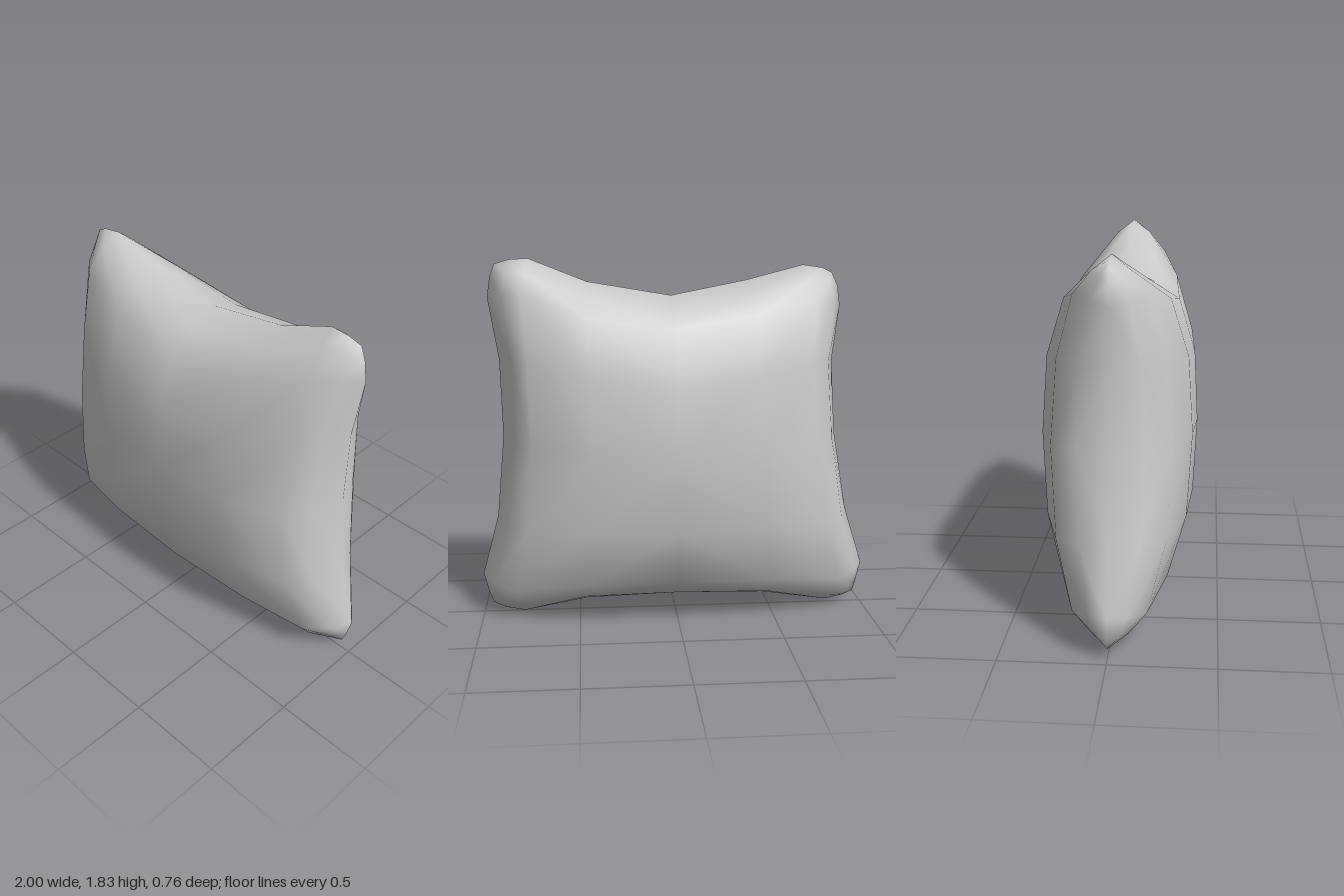
import * as THREE from 'three';
import { mergeVertices } from 'three/addons/utils/BufferGeometryUtils.js';

// Seam outline: nine points per edge, at these stations from -1 to 1
const STATIONS = [-1, -0.94, -0.77, -0.45, 0, 0.45, 0.77, 0.94, 1];
const BOTTOM = [[-0.96, 0.06], [-0.91, 0.035], [-0.81, 0.015], [-0.47, 0.065], [0, 0.08], [0.46, 0.06], [0.79, 0], [0.89, 0.02], [0.95, 0.05]];
const TOP = [[-0.8, 1.755], [-0.75, 1.78], [-0.65, 1.795], [-0.36, 1.72], [0.02, 1.645], [0.44, 1.715], [0.73, 1.83], [0.82, 1.825], [0.895, 1.805]];
const LEFT = [[-0.96, 0.06], [-0.975, 0.11], [-1, 0.22], [-0.905, 0.52], [-0.835, 0.93], [-0.81, 1.31], [-0.845, 1.59], [-0.83, 1.69], [-0.8, 1.755]];
const RIGHT = [[0.95, 0.05], [0.975, 0.11], [1, 0.21], [0.915, 0.52], [0.875, 0.94], [0.885, 1.33], [0.935, 1.64], [0.92, 1.74], [0.895, 1.805]];
const HALF_DEPTH = 0.38;
const CORNER_PINCH = 0.45;

// Blend the four edges into the interior, then puff the sheet out in z
function cushionPoint(i, j, side) {
  const last = STATIONS.length - 1;
  const s = STATIONS[i], t = STATIONS[j];
  const u = (s + 1) / 2, v = (t + 1) / 2;
  const [x, y] = [0, 1].map((a) =>
    (1 - v) * BOTTOM[i][a] + v * TOP[i][a] + (1 - u) * LEFT[j][a] + u * RIGHT[j][a]
    - (1 - u) * (1 - v) * BOTTOM[0][a] - u * (1 - v) * BOTTOM[last][a]
    - (1 - u) * v * TOP[0][a] - u * v * TOP[last][a]);
  const puff = Math.sqrt((1 - Math.abs(s) ** 3) * (1 - Math.abs(t) ** 3));
  const pinch = 1 - CORNER_PINCH * s * s * t * t;
  return [x, y, side * HALF_DEPTH * puff * pinch];
}

function cushionGeometry() {
  const positions = [], index = [], n = STATIONS.length;
  for (const side of [1, -1]) {
    const base = positions.length / 3;
    for (let j = 0; j < n; j++) {
      for (let i = 0; i < n; i++) positions.push(...cushionPoint(i, j, side));
    }
    for (let j = 0; j < n - 1; j++) {
      for (let i = 0; i < n - 1; i++) {
        const a = base + j * n + i, b = a + 1, d = a + n, c = d + 1;
        // Diagonals run toward the nearest corner
        const same = (i < (n - 1) / 2) === (j < (n - 1) / 2);
        const tris = same ? [[a, b, c], [a, c, d]] : [[a, b, d], [b, c, d]];
        for (const [p, q, r] of tris) index.push(...(side > 0 ? [p, q, r] : [p, r, q]));
      }
    }
  }
  let geometry = new THREE.BufferGeometry();
  geometry.setAttribute('position', new THREE.Float32BufferAttribute(positions, 3));
  geometry.setIndex(index);
  // Weld front and back along the seam for a soft rounded rim
  geometry = mergeVertices(geometry, 1e-4);
  geometry.computeVertexNormals();
  return geometry;
}

export function createModel() {
  const group = new THREE.Group();
  group.name = 'pillow';
  const cushion = new THREE.Mesh(cushionGeometry(), new THREE.MeshStandardMaterial({ color: 0xcccccc }));
  cushion.name = 'cushion';
  group.add(cushion);
  return group;
}
